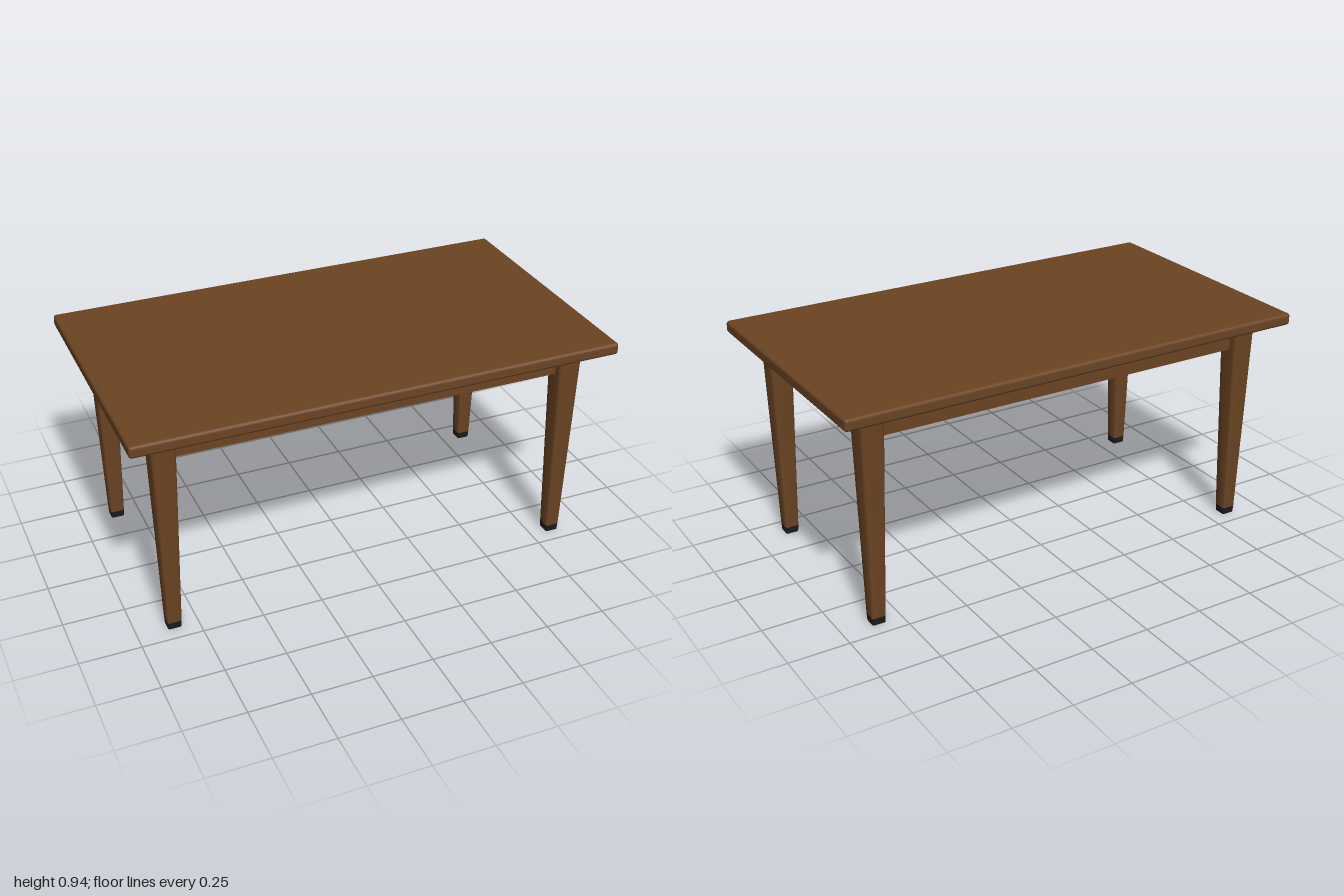
import * as THREE from 'three';
import { toCreasedNormals } from 'three/addons/utils/BufferGeometryUtils.js';
import { RoundedBoxGeometry } from 'three/addons/geometries/RoundedBoxGeometry.js';

const LEG_X = 0.848, LEG_Z = 0.413, APRON_Y = 0.8235, APRON_H = 0.097;

// Tapered post with a rounded-square section, from y0 (half width h0) to y1 (half width h1)
function taperedPost(y0, y1, h0, h1) {
  const r = 0.25, c = 1 - r;
  const s = new THREE.Shape();
  s.absarc(c, c, r, 0, Math.PI / 2);
  s.absarc(-c, c, r, Math.PI / 2, Math.PI);
  s.absarc(-c, -c, r, Math.PI, Math.PI * 1.5);
  s.absarc(c, -c, r, Math.PI * 1.5, Math.PI * 2);
  const geo = new THREE.ExtrudeGeometry(s, { depth: 1, bevelEnabled: false, curveSegments: 6 });
  geo.rotateX(-Math.PI / 2);
  const p = geo.attributes.position;
  for (let i = 0; i < p.count; i++) {
    const t = p.getY(i), h = h0 + (h1 - h0) * t;
    p.setXYZ(i, p.getX(i) * h, y0 + (y1 - y0) * t, p.getZ(i) * h);
  }
  return toCreasedNormals(geo, Math.PI / 5);
}

export function createModel() {
  const model = new THREE.Group();
  model.name = 'diningTable';
  const wood = new THREE.MeshStandardMaterial({ color: 0x6b4423 });
  wood.name = 'brownWood';
  const black = new THREE.MeshStandardMaterial({ color: 0x1c1c1c });
  black.name = 'blackRubber';

  const add = (parent, name, geo, mat, x = 0, y = 0, z = 0) => {
    const mesh = new THREE.Mesh(geo, mat);
    mesh.name = name;
    mesh.position.set(x, y, z);
    parent.add(mesh);
  };

  // Table top with softened edges
  add(model, 'tableTop', new RoundedBoxGeometry(2, 0.05, 1.12, 3, 0.013), wood, 0, 0.913, 0);

  // Four legs, each with a foot cap and a spacer under the top
  const legGeo = taperedPost(0.03, 0.872, 0.029, 0.049);
  const footGeo = taperedPost(0, 0.03, 0.027, 0.029);
  const spacerGeo = taperedPost(0.872, 0.889, 0.031, 0.031);
  for (const sx of [-1, 1]) {
    for (const sz of [-1, 1]) {
      const leg = new THREE.Group();
      leg.name = (sz > 0 ? 'front' : 'back') + (sx > 0 ? 'Left' : 'Right') + 'Leg';
      leg.position.set(sx * LEG_X, 0, sz * LEG_Z);
      add(leg, 'legPost', legGeo, wood);
      add(leg, 'footCap', footGeo, black);
      add(leg, 'spacer', spacerGeo, black);
      model.add(leg);
    }
  }

  // Aprons joining the legs
  const longApron = new THREE.BoxGeometry(2 * LEG_X - 0.08, APRON_H, 0.025);
  const shortApron = new THREE.BoxGeometry(0.025, APRON_H, 2 * LEG_Z - 0.08);
  for (const s of [-1, 1]) {
    add(model, s > 0 ? 'frontApron' : 'backApron', longApron, wood, 0, APRON_Y, s * LEG_Z);
    add(model, s > 0 ? 'leftApron' : 'rightApron', shortApron, wood, s * LEG_X, APRON_Y, 0);
  }
  return model;
}
